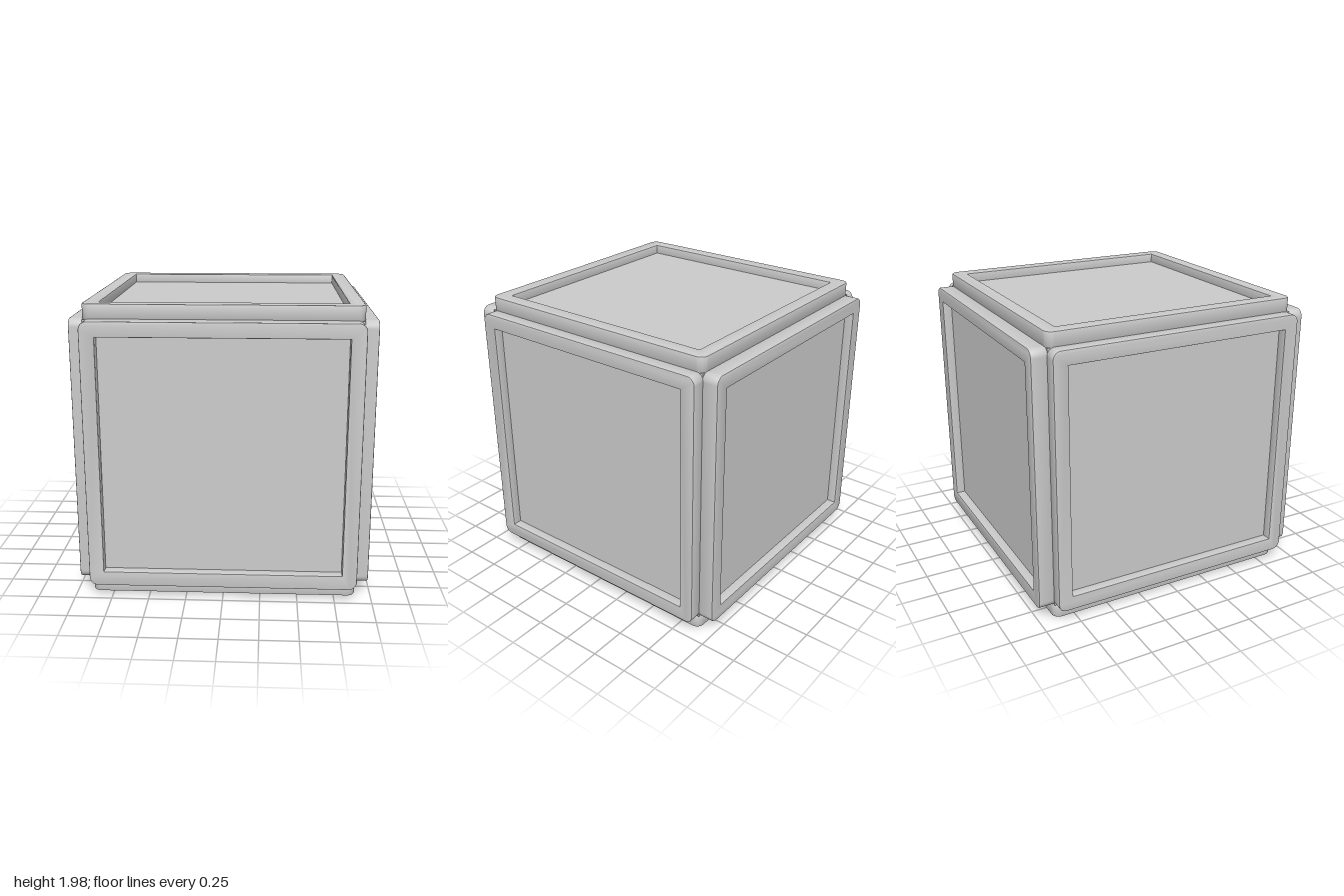
import * as THREE from 'three';
import { toCreasedNormals } from 'three/addons/utils/BufferGeometryUtils.js';

const HALF = 0.895;    // half width of a panel
const OPENING = 0.795; // half width of the recess
const CORNER = 0.055;  // outer corner radius
const BEVEL = 0.008;
const RECESS = 0.065;  // depth of the recess
const CENTRE_Y = 0.99;

// Square ring with rounded outer corners and a sharp square opening
function frameGeometry(thickness) {
  const shape = new THREE.Shape();
  const s = HALF - CORNER;
  shape.absarc(s, s, CORNER, 0, Math.PI / 2);
  shape.absarc(-s, s, CORNER, Math.PI / 2, Math.PI);
  shape.absarc(-s, -s, CORNER, Math.PI, Math.PI * 1.5);
  shape.absarc(s, -s, CORNER, Math.PI * 1.5, Math.PI * 2);
  shape.closePath();

  const o = OPENING;
  const hole = new THREE.Path();
  hole.moveTo(-o, -o);
  hole.lineTo(-o, o);
  hole.lineTo(o, o);
  hole.lineTo(o, -o);
  hole.closePath();
  shape.holes.push(hole);

  const geometry = new THREE.ExtrudeGeometry(shape, {
    depth: thickness - 2 * BEVEL,
    bevelThickness: BEVEL,
    bevelSize: BEVEL,
    bevelOffset: -BEVEL,
    bevelSegments: 2,
    curveSegments: 6,
  });
  geometry.translate(0, 0, BEVEL);
  return toCreasedNormals(geometry, Math.PI / 5);
}

export function createModel() {
  const model = new THREE.Group();
  model.name = 'panelledCube';
  const material = new THREE.MeshStandardMaterial({ color: 0xcccccc });

  const add = (parent, name, geometry) => {
    const mesh = new THREE.Mesh(geometry, material);
    mesh.name = name;
    parent.add(mesh);
    return mesh;
  };

  // Solid body behind the panels
  const core = add(model, 'core', new THREE.BoxGeometry(1.78, 1.78, 1.78));
  core.position.y = CENTRE_Y;

  // One raised frame with a sunken plate on each side:
  // name, distance of the outer face from the centre, rotation x, rotation y
  const q = Math.PI / 2;
  const sides = [
    ['front', 1.0, 0, 0],
    ['back', 1.0, 0, Math.PI],
    ['left', 0.98, 0, q],
    ['right', 0.98, 0, -q],
    ['top', 0.99, -q, 0],
    ['bottom', 0.99, q, 0],
  ];
  const base = 0.885;
  for (const [name, reach, rx, ry] of sides) {
    const panel = new THREE.Group();
    panel.name = name + 'Panel';
    panel.position.y = CENTRE_Y;
    panel.rotation.set(rx, ry, 0);

    const frame = add(panel, name + 'Frame', frameGeometry(reach - base));
    frame.position.z = base;

    // Plate closing the bottom of the recess
    const plateDepth = reach - RECESS - base;
    const size = 2 * OPENING + 0.02;
    const plate = add(panel, name + 'Plate', new THREE.BoxGeometry(size, size, plateDepth));
    plate.position.z = base + plateDepth / 2;

    model.add(panel);
  }
  return model;
}
